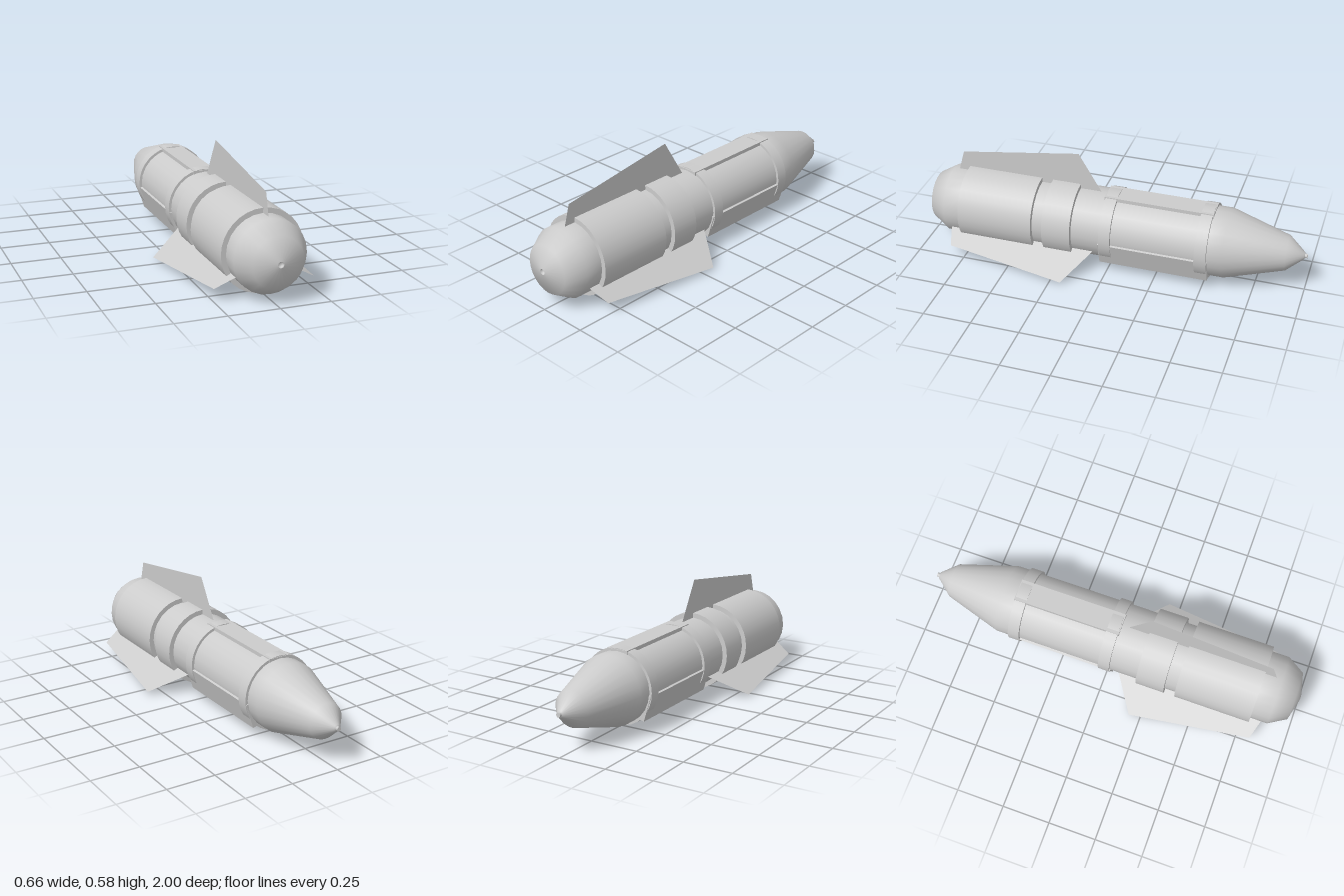
import * as THREE from 'three';

const AXIS = 0.2035; // height of the centre line

export function createModel() {
  const root = new THREE.Group();
  const mat = new THREE.MeshStandardMaterial({ color: 0xcccccc });
  const thin = new THREE.MeshStandardMaterial({ color: 0xcccccc, side: THREE.DoubleSide });
  const hull = new THREE.Group();
  hull.name = 'rocket';
  hull.position.y = AXIS;
  root.add(hull);

  const add = (name, geo, material = mat) => {
    const mesh = new THREE.Mesh(geo, material);
    mesh.name = name;
    hull.add(mesh);
    return mesh;
  };
  // cylinder lying along z between two stations
  const tube = (name, r, z0, z1, sides) => {
    const geo = new THREE.CylinderGeometry(r, r, z1 - z0, sides);
    geo.rotateX(Math.PI / 2);
    geo.translate(0, 0, (z0 + z1) / 2);
    return add(name, geo);
  };

  // body: tapered tail, straight barrel, blunt nose with a small dimple
  const profile = [
    [0, -0.99], [0.018, -0.985], [0.09, -0.9], [0.179, -0.6], [0.179, -0.52],
    [0.179, 0.79], [0.179, 0.88], [0.125, 0.97], [0.015, 0.998],
  ].map(([r, z]) => new THREE.Vector2(r, z));
  const body = new THREE.LatheGeometry(profile, 24);
  body.rotateX(Math.PI / 2);
  add('body', body, thin);
  const dimple = new THREE.LatheGeometry(
    [new THREE.Vector2(0.015, 0.998), new THREE.Vector2(0.013, 0.985), new THREE.Vector2(0, 0.985)], 16);
  dimple.rotateX(Math.PI / 2);
  add('noseDimple', dimple, thin);
  tube('tailTip', 0.011, -1, -0.98, 12);

  // thick and thin bands round the barrel
  tube('wideBand', 0.2035, 0.39, 0.79, 32);
  tube('middleBand', 0.2035, 0.18, 0.33, 32);
  tube('frontStrap', 0.192, -0.03, 0.03, 32);
  tube('rearStrap', 0.192, -0.525, -0.465, 32);

  // long flat plates: one on top, one canted on each lower side
  const plate = (name, x, y, angle, width) => {
    const depth = 0.04;
    const geo = new THREE.BoxGeometry(width, depth, 0.565);
    geo.translate(0, -depth / 2, -0.2465);
    const mesh = add(name, geo);
    mesh.position.set(x, y, 0);
    mesh.rotation.z = angle;
  };
  plate('topPlate', 0, 0.187, 0, 0.115);
  for (const s of [1, -1]) {
    plate(s > 0 ? 'leftPlate' : 'rightPlate', s * 0.168, -0.085, -s * 1.87, 0.134);
  }

  // three thin swept fins, a third of a turn apart
  const finShape = new THREE.Shape([
    [0.84, 0.15], [0.85, 0.18], [0.82, 0.286], [0.19, 0.38], [0.07, 0.178], [0.07, 0.15],
  ].map(([z, r]) => new THREE.Vector2(z, r)));
  const finGeo = new THREE.ShapeGeometry(finShape);
  finGeo.rotateY(-Math.PI / 2);
  ['topFin', 'rightFin', 'leftFin'].forEach((name, i) => {
    add(name, finGeo, thin).rotation.z = (i * Math.PI * 2) / 3;
  });

  return root;
}
